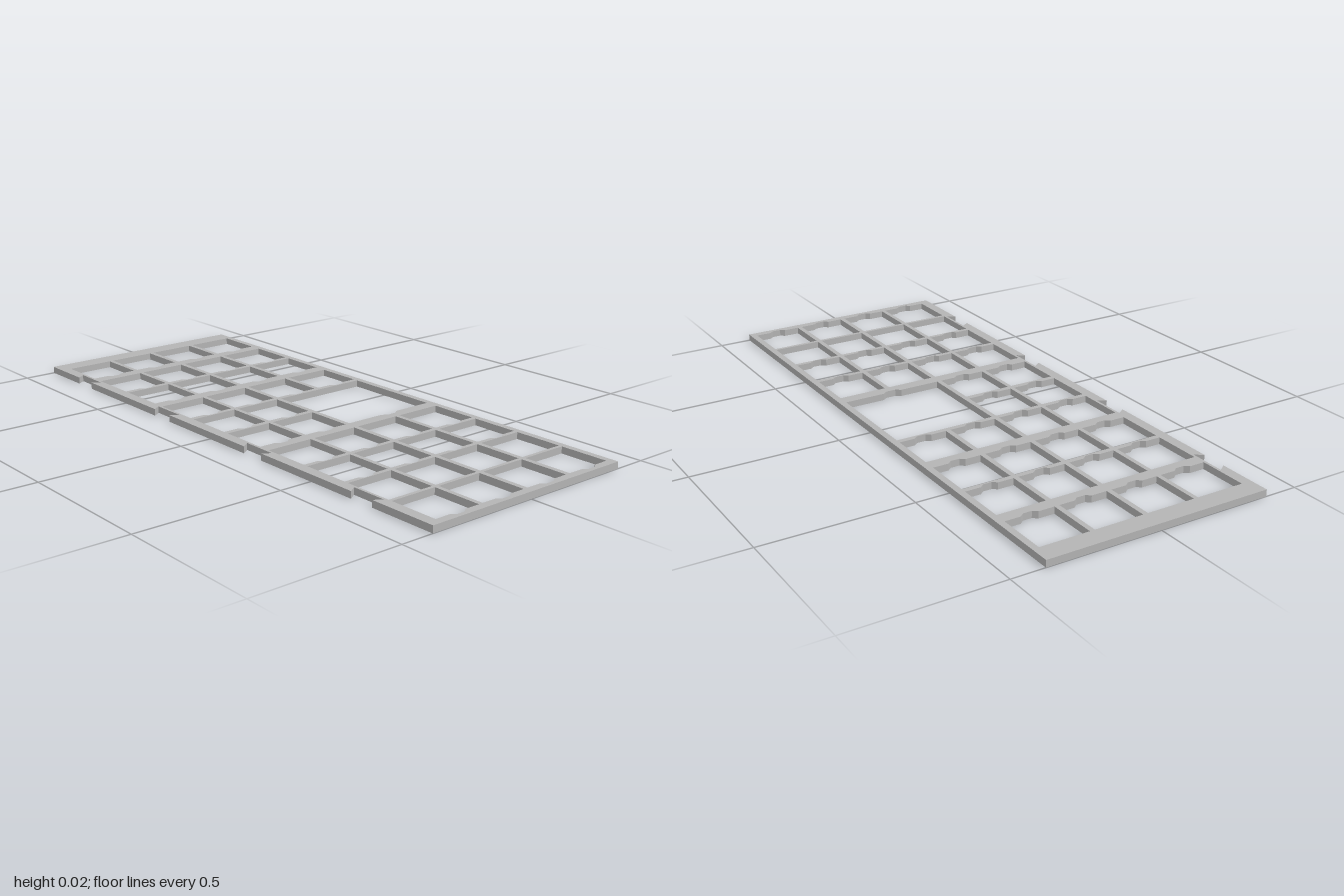
import * as THREE from 'three';

const HEIGHT = 0.023;
const HALF_W = 0.388;

// Outline points are given as [x, z] on the ground plane.
const toPoints = (list) => list.map(([x, z]) => new THREE.Vector2(x, -z));

// Rectangular opening with a shallow finger notch in its front edge.
function opening(x0, x1, z0, z1, notch = true, notchHalf = 0.03) {
  const c = (x0 + x1) / 2;
  const pts = [[x0, z0], [x1, z0], [x1, z1]];
  if (notch) {
    pts.push(
      [c + notchHalf, z1], [c + notchHalf / 2, z1 + 0.012],
      [c - notchHalf / 2, z1 + 0.012], [c - notchHalf, z1],
    );
  }
  pts.push([x0, z1]);
  return new THREE.Path(toPoints(pts));
}

export function createModel() {
  const group = new THREE.Group();
  group.name = 'gridTray';
  const grey = new THREE.MeshStandardMaterial({ color: 0xb4b4b4 });
  grey.name = 'grey';

  // Outer edge, with flared notches along the right-hand side (-x)
  const edge = [[-HALF_W, -1]];
  for (const z of [-0.77, -0.273, 0.222, 0.72]) {
    edge.push([-HALF_W, z - 0.043], [-0.361, z - 0.062], [-0.361, z + 0.062], [-HALF_W, z + 0.043]);
  }
  edge.push([-HALF_W, 1], [HALF_W, 1], [HALF_W, -1]);
  const shape = new THREE.Shape(toPoints(edge));

  // Grid of openings
  const columns = [[-0.352, -0.185], [-0.17, -0.003], [0.014, 0.181], [0.198, 0.366]];
  const rows = [
    [-0.934, -0.765], [-0.722, -0.554], [-0.536, -0.369], [-0.325, -0.159],
    [-0.141, 0.028], [0.047, 0.215],
    [0.257, 0.426], [0.442, 0.608], [0.623, 0.792], [0.804, 0.973],
  ];
  rows.forEach(([z0, z1], r) => {
    columns.forEach(([x0, x1], c) => {
      const insideLarge = (r === 4 || r === 5) && c >= 2;
      if (!insideLarge) shape.holes.push(opening(x0, x1, z0, z1, r !== 8));
    });
  });

  // Large opening spanning two rows and two columns
  shape.holes.push(opening(0.014, 0.366, -0.141, 0.215, true, 0.034));

  const geometry = new THREE.ExtrudeGeometry(shape, { depth: HEIGHT, bevelEnabled: false });
  geometry.rotateX(-Math.PI / 2);
  const frame = new THREE.Mesh(geometry, grey);
  frame.name = 'gridFrame';
  group.add(frame);
  return group;
}
